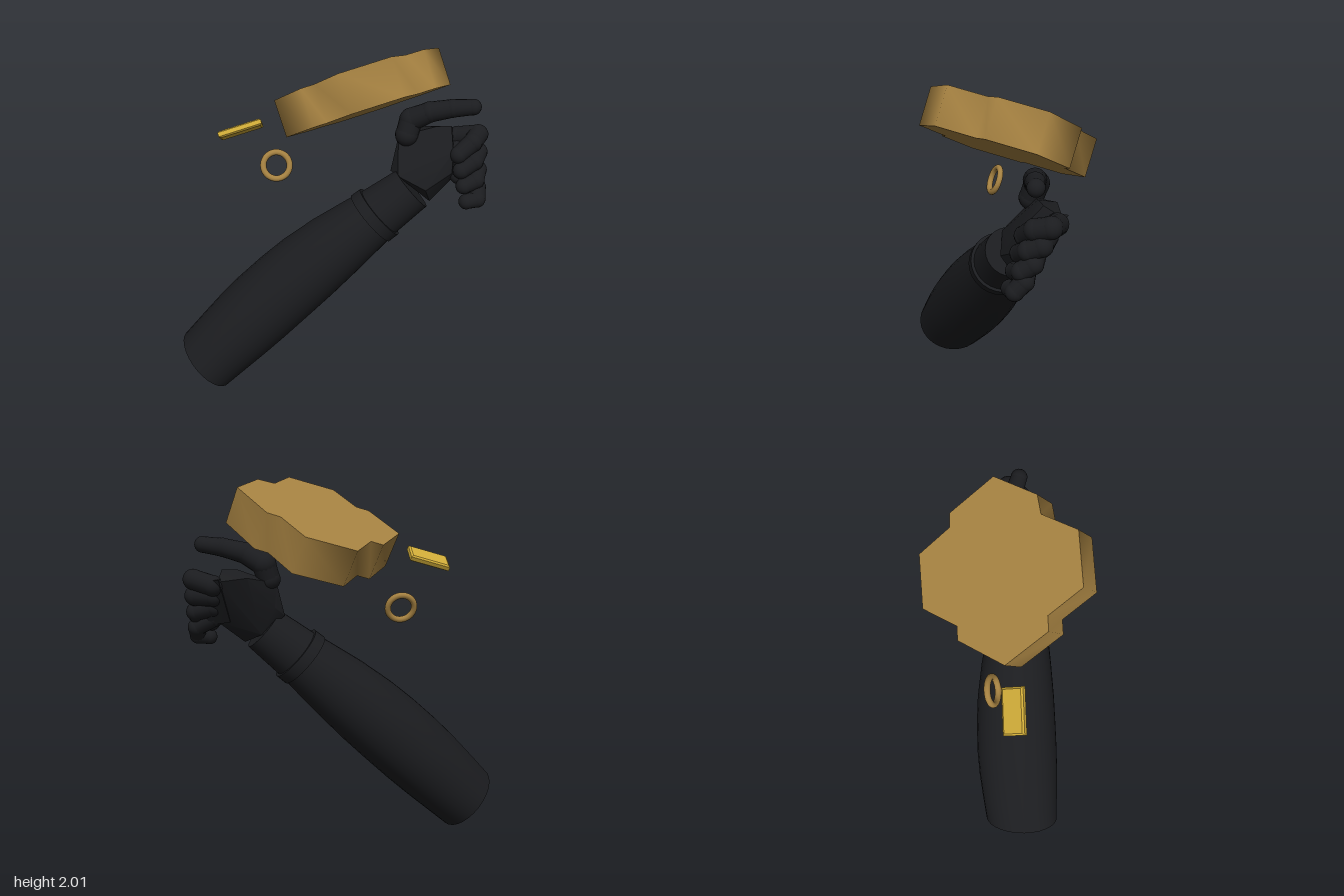
import * as THREE from 'three';
import { toCreasedNormals } from 'three/addons/utils/BufferGeometryUtils.js';
import { ConvexGeometry } from 'three/addons/geometries/ConvexGeometry.js';

const V = (a) => new THREE.Vector3(...a);
const UP = new THREE.Vector3(0, 1, 0);
const black = new THREE.MeshStandardMaterial({ color: 0x1b1c1f });
const bronze = new THREE.MeshStandardMaterial({ color: 0xa58141 });
const gold = new THREE.MeshStandardMaterial({ color: 0xcfab38 });

function part(name, geometry, material) {
  const mesh = new THREE.Mesh(geometry, material);
  mesh.name = name;
  return mesh;
}

// Round section along the forearm axis; profile holds [radius, fraction of length].
// The section is slightly oval at the elbow and the axis bows a little to one side.
const elbow = V([-0.34, 0.138, 0.65]);
const wrist = V([0.225, 1.175, -0.39]);
function armLathe(profile) {
  const axis = wrist.clone().sub(elbow);
  const length = axis.length();
  const turn = new THREE.Quaternion().setFromUnitVectors(UP, axis.normalize());
  const wide = V([1, 0, 1]).projectOnPlane(axis).normalize();
  const narrow = axis.clone().cross(wide);
  const geo = new THREE.LatheGeometry(profile.map(([r, t]) => new THREE.Vector2(r, t * length)), 28);
  const pos = geo.attributes.position;
  const p = new THREE.Vector3();
  for (let i = 0; i < pos.count; i++) {
    p.fromBufferAttribute(pos, i);
    const t = p.y / length;
    const bend = Math.sin(Math.PI * t);
    p.applyQuaternion(turn);
    p.addScaledVector(wide, p.dot(wide) * 0.08 * (1 - t));
    p.addScaledVector(narrow, p.dot(narrow) * -0.05 * (1 - t));
    p.add(elbow);
    pos.setXYZ(i, p.x - 0.036 * bend, p.y + 0.014 * bend, p.z);
  }
  return toCreasedNormals(geo, 0.6);
}

// Chain of tapered segments with a ball at each joint.
function digit(name, points, radii) {
  const group = new THREE.Group();
  group.name = name;
  points.forEach((p, i) => {
    const joint = part('joint', new THREE.SphereGeometry(radii[i], 16, 12), black);
    joint.position.copy(p);
    group.add(joint);
    if (i === 0) return;
    const dir = p.clone().sub(points[i - 1]);
    const bone = part('segment',
      new THREE.CylinderGeometry(radii[i] * 0.97, radii[i - 1] * 0.97, dir.length(), 16, 1, true), black);
    bone.position.copy(p).add(points[i - 1]).multiplyScalar(0.5);
    bone.quaternion.setFromUnitVectors(UP, dir.normalize());
    group.add(bone);
  });
  return group;
}

function makeHand() {
  const hand = new THREE.Group();
  hand.name = 'hand';
  // Palm: a faceted block from wrist to knuckles
  const palm = new ConvexGeometry([
    [0.1, 1.25, -0.34], [0.2, 1.26, -0.31], [0.32, 1.19, -0.41], [0.29, 1.1, -0.47], [0.16, 1.15, -0.45],
    [0.075, 1.43, -0.41], [0.08, 1.3, -0.42], [0.1, 1.46, -0.58], [0.22, 1.5, -0.56], [0.26, 1.5, -0.63],
    [0.2, 1.44, -0.7], [0.35, 1.39, -0.57], [0.36, 1.27, -0.56], [0.31, 1.22, -0.63],
  ].map(V));
  hand.add(part('palm', toCreasedNormals(palm, 0.5), black));

  // Slab over the back of the knuckles
  const slab = [[0.17, 1.45, -0.71], [0.27, 1.45, -0.76], [0.25, 1.22, -0.59], [0.35, 1.2, -0.66]].map(V);
  const inner = slab.map((p) => p.clone().add(V([0.045, 0.01, 0.045])));
  hand.add(part('knuckleGuard', toCreasedNormals(new ConvexGeometry([...slab, ...inner]), 0.5), black));

  // Four curled fingers, blended from index to little finger
  const index = [[0.24, 1.42, -0.7], [0.345, 1.45, -0.752], [0.38, 1.43, -0.68], [0.36, 1.37, -0.6]].map(V);
  const little = [[0.35, 1.24, -0.62], [0.44, 1.185, -0.68], [0.475, 1.135, -0.65], [0.45, 1.125, -0.595]].map(V);
  for (let i = 0; i < 4; i++) {
    const s = 1 - i * 0.04;
    hand.add(digit('finger', index.map((p, j) => p.clone().lerp(little[j], i / 3)),
      [0.056 * s, 0.056 * s, 0.054 * s, 0.049 * s]));
  }
  hand.add(digit('thumb',
    [[0.12, 1.45, -0.43], [0.118, 1.53, -0.46], [0.2, 1.585, -0.52], [0.29, 1.615, -0.6], [0.37, 1.63, -0.675]].map(V),
    [0.064, 0.066, 0.058, 0.051, 0.044]));
  return hand;
}

// Thick notched plate, sheared into its tilted plane
function makePlate() {
  const outline = [
    [0.176, -0.58], [0.296, -0.365], [0.266, -0.275], [0.365, -0.1], [0.258, 0.138], [0.069, 0.146],
    [0.039, 0.21], [-0.2, 0.219], [-0.33, -0.022], [-0.3, -0.082], [-0.4, -0.263], [-0.29, -0.505],
    [-0.107, -0.515], [-0.073, -0.575],
  ].map(([x, z]) => new THREE.Vector2(x, z));
  const geo = new THREE.ExtrudeGeometry(new THREE.Shape(outline), { depth: 1, bevelEnabled: false });
  const tilt = new THREE.Matrix4().makeBasis(V([1, 0.526, 0]), V([0, -0.05, 1]), V([0.095, -0.18, -0.011]));
  geo.applyMatrix4(tilt.setPosition(0, 1.802, 0));
  return part('notchedPlate', toCreasedNormals(geo, 1.2), bronze);
}

// Small bar with chamfered edges
function makeBar() {
  const w = 0.107, h = 0.05;
  const shape = new THREE.Shape([[-w, -h], [w, -h], [w, h], [-w, h]].map(([x, y]) => new THREE.Vector2(x, y)));
  const geo = new THREE.ExtrudeGeometry(shape,
    { depth: 0.022, bevelThickness: 0.007, bevelSize: 0.01, bevelSegments: 1 });
  geo.translate(0, 0, -0.02);
  const along = V([0.105, 0.065, -0.21]).normalize();
  const normal = V([-0.55, 0.835, 0]);
  normal.addScaledVector(along, -normal.dot(along)).normalize();
  geo.applyMatrix4(new THREE.Matrix4().makeBasis(along, normal.clone().cross(along), normal));
  const bar = part('bar', geo, gold);
  bar.position.set(-0.255, 1.555, 0.4);
  return bar;
}

export function createModel() {
  const model = new THREE.Group();
  model.name = 'armWithFloatingPieces';

  model.add(part('forearm', armLathe([
    [0, 0], [0.203, 0], [0.213, 0.1], [0.222, 0.2], [0.226, 0.3], [0.223, 0.42], [0.215, 0.53],
    [0.195, 0.66], [0.164, 0.8], [0.15, 0.86], [0.13, 1], [0, 1],
  ]), black));
  model.add(part('wristBand', armLathe([[0.14, 0.82], [0.168, 0.82], [0.166, 0.86], [0.14, 0.86]]), black));
  model.add(makeHand());
  model.add(makePlate());
  model.add(makeBar());

  const ring = part('ring', new THREE.TorusGeometry(0.073, 0.017, 12, 40), bronze);
  ring.quaternion.setFromUnitVectors(V([0, 0, 1]), V([0.78, 0.36, 0.5]).normalize());
  ring.position.set(-0.257, 1.287, 0.182);
  model.add(ring);

  return model;
}
